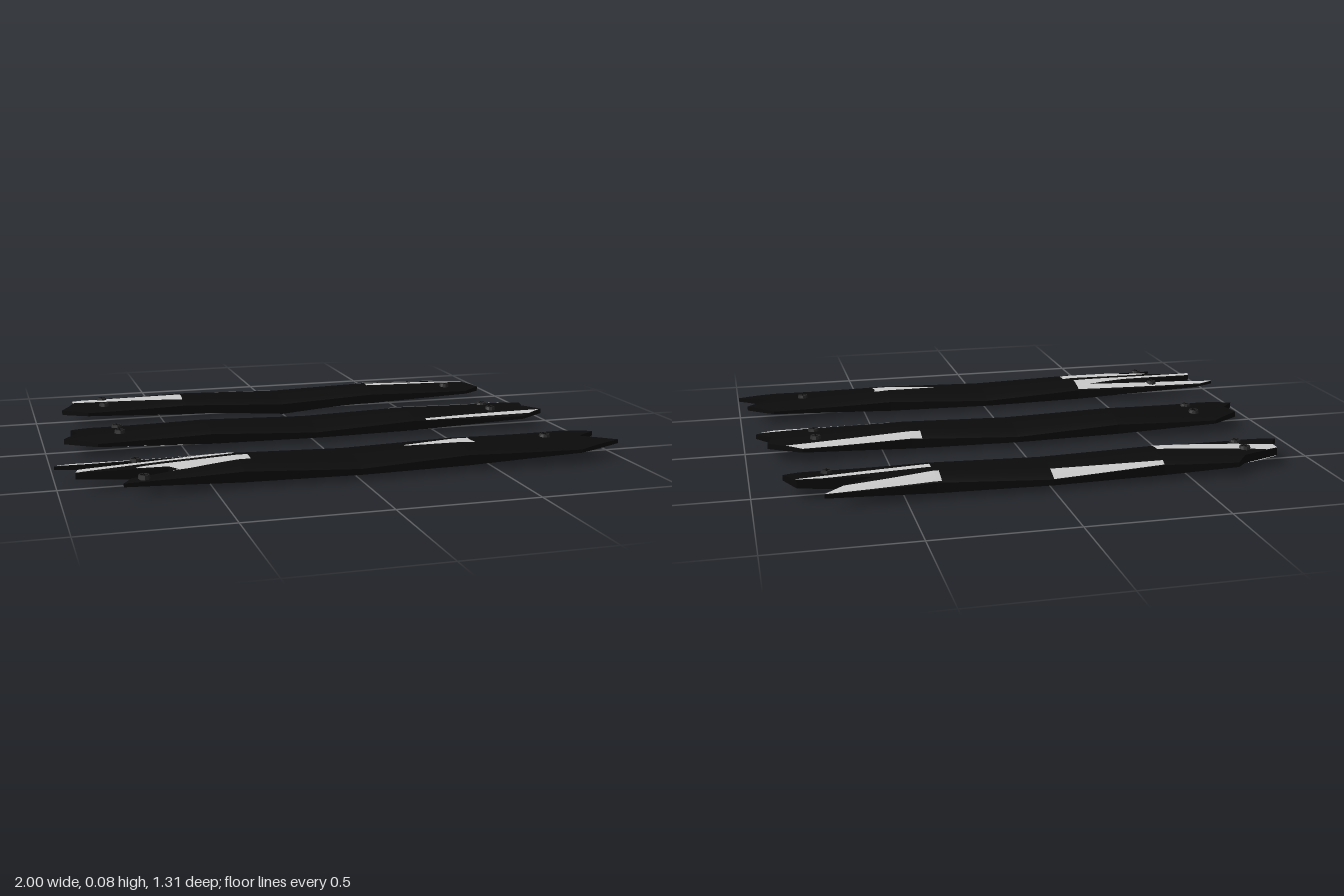
import * as THREE from 'three';

const paint = (color) => new THREE.MeshStandardMaterial({ color, flatShading: true, side: THREE.DoubleSide });
const DARK = paint(0x0b0b0b), PALE = paint(0xcccccc), METAL = paint(0x262626);
const { lerp, clamp } = THREE.MathUtils;
const WAIST = 0.86;

// Value at position f (0..1) along an evenly spaced list
function sample(list, f) {
  const t = f * (list.length - 1), i = Math.min(Math.floor(t), list.length - 2);
  return lerp(list[i], list[i + 1], t - i);
}

// Place on a plank: u runs from the left-hand break (0) to the other (4), c from back edge (0) to front edge (1)
function place(plank, u, c) {
  const x = sample([-sample(plank.start, c), -0.4, 0, 0.4, sample(plank.end, c)], u / 4);
  const half = plank.half * sample([1, WAIST, 1, WAIST, 1], u / 4);
  return [x, plank.centre + half * (2 * c - 1)];
}

// Arched cross-section that thins towards the ends
function heightAt(plank, x, z, isTop) {
  const far = Math.abs(x), s = clamp((z - plank.centre) / plank.half, -1, 1);
  const arch = 1 - Math.abs(s) ** 2.2;
  const crown = 0.084 - 0.03 * Math.abs(far - 0.4);
  const belly = 0.018 + 0.053 * Math.max(0, far - 0.4);
  if (isTop) return lerp(lerp(belly, crown, 0.5), crown, arch);
  const sag = plank.sag * Math.max(0, 1 - far / 0.3) * Math.max(0, s);
  return lerp(lerp(belly, crown, 0.12), belly, arch) - sag;
}

// Curved sheet over a tapering stretch of plank: across c0..c1 at u0, c2..c3 at u1
function addSheet(pos, idx, plank, [u0, c0, c1, u1, c2, c3], isTop, lift, nu, nc) {
  const first = pos.length / 3, stride = nc + 1;
  for (let i = 0; i <= nu; i++) for (let j = 0; j <= nc; j++) {
    const f = i / nu, g = j / nc;
    const [x, z] = place(plank, lerp(u0, u1, f), lerp(lerp(c0, c1, g), lerp(c2, c3, g), f));
    pos.push(x, heightAt(plank, x, z, isTop) + lift, z);
    if (i === nu || j === nc) continue;
    const a = first + i * stride + j, b = a + 1, d = a + stride, e = d + 1;
    if (isTop) idx.push(a, b, d, b, e, d);
    else idx.push(a, d, b, b, d, e);
  }
}

function toMesh(pos, idx, material, name) {
  const geometry = new THREE.BufferGeometry();
  geometry.setAttribute('position', new THREE.Float32BufferAttribute(pos, 3));
  geometry.setIndex(idx);
  geometry.computeVertexNormals();
  const mesh = new THREE.Mesh(geometry, material);
  mesh.name = name;
  return mesh;
}

// Closed board: top, underside and a wall round the jagged outline
function board(plank) {
  const pos = [], idx = [], nu = 24, nc = 36, C = nc + 1, n = (nu + 1) * C, rim = [];
  for (const isTop of [true, false]) addSheet(pos, idx, plank, [0, 0, 1, 4, 0, 1], isTop, 0, nu, nc);
  for (let c = 0; c < nc; c++) rim.push(c);
  for (let r = 0; r < nu; r++) rim.push(r * C + nc);
  for (let c = nc; c > 0; c--) rim.push(nu * C + c);
  for (let r = nu; r > 0; r--) rim.push(r * C);
  rim.forEach((a, i) => {
    const b = rim[(i + 1) % rim.length];
    idx.push(a, a + n, b, b, a + n, b + n);
  });
  return toMesh(pos, idx, DARK, 'board');
}

// Pale splintered wood lying on the board
function splinter(plank, span, isTop) {
  const pos = [], idx = [];
  addSheet(pos, idx, plank, span, isTop, isTop ? 0.002 : -0.002, 24, 24);
  return toMesh(pos, idx, PALE, isTop ? 'splinteredTop' : 'splinteredUnderside');
}

// Round screw head with a cross slot
function screw(plank, x, z) {
  const group = new THREE.Group();
  group.name = 'screw';
  const head = new THREE.Mesh(new THREE.CylinderGeometry(0.018, 0.022, 0.014, 10), METAL);
  head.name = 'screwHead';
  group.add(head);
  for (const turn of [0, Math.PI / 2]) {
    const slot = new THREE.Mesh(new THREE.BoxGeometry(0.026, 0.002, 0.005), DARK);
    slot.name = 'screwSlot';
    slot.position.y = 0.0068;
    slot.rotation.y = turn;
    group.add(slot);
  }
  group.position.set(x, heightAt(plank, x, z, true) + 0.003, z);
  return group;
}

function buildPlank(plank) {
  const group = new THREE.Group();
  group.name = plank.name;
  group.add(board(plank));
  for (const span of plank.tops) group.add(splinter(plank, span, true));
  for (const span of plank.undersides) group.add(splinter(plank, span, false));
  for (const z of plank.startScrews) group.add(screw(plank, -0.73, z));
  for (const z of plank.endScrews) group.add(screw(plank, 0.745, z));
  return group;
}

export function createModel() {
  const model = new THREE.Group();
  model.name = 'brokenPlanks';

  // start and end: how far each break reaches from the middle, from back edge to front edge
  model.add(buildPlank({
    name: 'backPlank', centre: -0.532, half: 0.123, sag: 0.02,
    start: [0.67, 0.71, 0.85, 0.85, 0.87, 0.9, 0.8],
    end: [0.77, 0.7, 0.6, 0.85, 0.87, 0.89, 0.82],
    tops: [[0, 0.28, 0.48, 0.98, 0.5, 0.8], [1, 0, 0.1, 2, 0, 0.22], [2.95, 0.02, 0.3, 4, 0, 0.16], [3, 0.45, 0.62, 4, 0.44, 0.52]],
    undersides: [[0, 0.2, 0.6, 0.95, 0.05, 0.4], [3.1, 0.3, 0.6, 3.6, 0.1, 0.6]],
    startScrews: [-0.56, -0.475], endScrews: [-0.475],
  }));

  model.add(buildPlank({
    name: 'middlePlank', centre: -0.02, half: 0.13, sag: 0,
    start: [0.79, 0.9, 0.88, 0.935, 0.82],
    end: [0.8, 0.92, 0.9, 0.955, 0.85],
    tops: [[2.9, 0, 0.2, 4, 0, 0.12], [3.1, 0.95, 1, 4, 0.78, 0.92]],
    undersides: [[0.2, 0.88, 0.96, 0.8, 0.9, 0.96]],
    startScrews: [-0.07, 0.02], endScrews: [-0.07, 0.02],
  }));

  model.add(buildPlank({
    name: 'frontPlank', centre: 0.515, half: 0.14, sag: 0,
    start: [0.92, 1, 0.72, 0.72, 0.93, 0.94, 0.64, 0.61, 0.77, 0.8],
    end: [0.87, 0.97, 0.88, 1, 0.82],
    tops: [[0, 0.03, 0.16, 1, 0.02, 0.17], [0, 0.43, 0.56, 1, 0.13, 0.34], [0, 0.63, 0.8, 1.1, 0.45, 0.67], [2.5, 0.49, 0.53, 3.1, 0.38, 0.64]],
    undersides: [[3, 0.1, 0.95, 3.9, 0.1, 0.9], [0.8, 0.85, 0.95, 2.9, 0.7, 0.92]],
    startScrews: [0.42, 0.625], endScrews: [0.505],
  }));
  return model;
}
